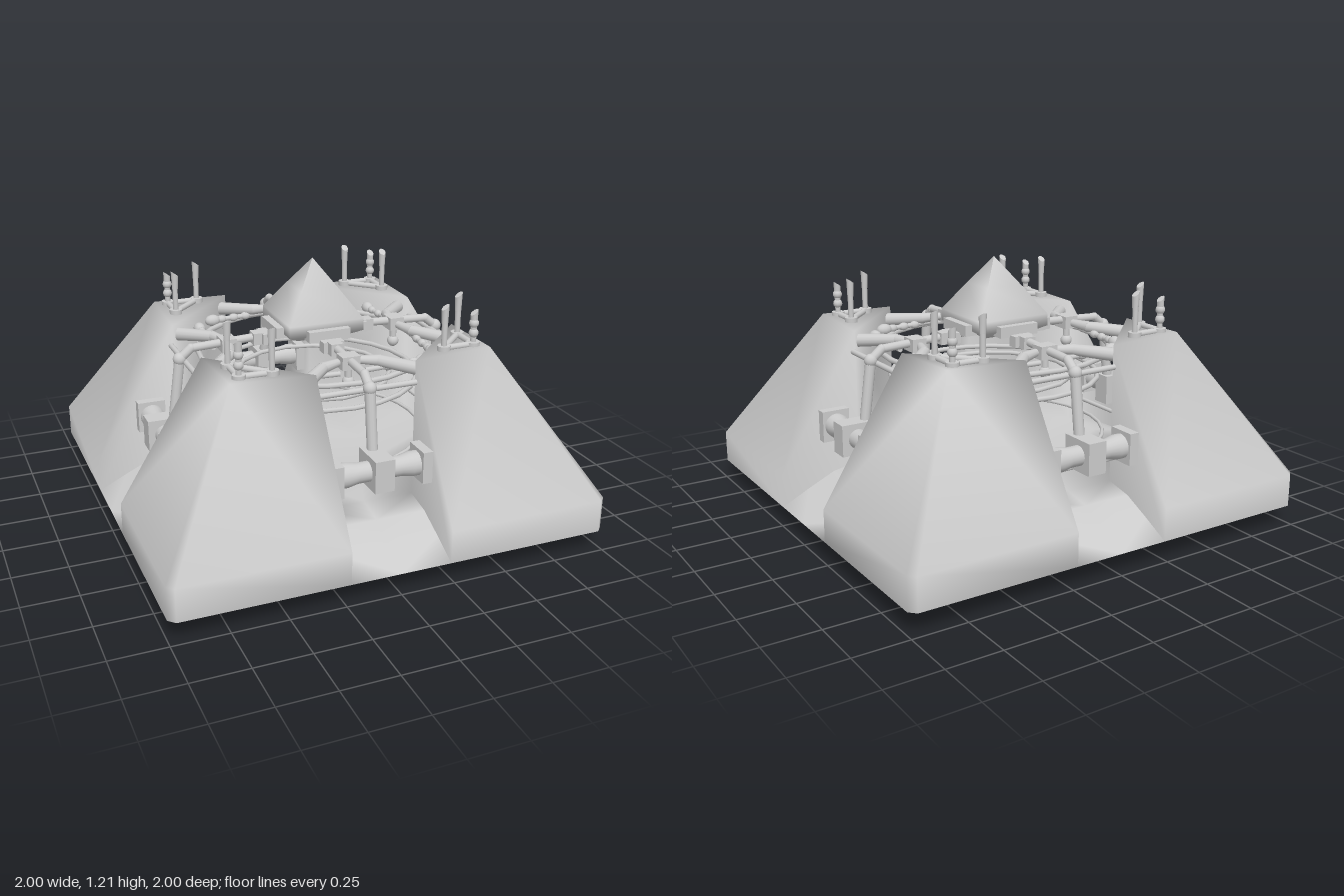
import * as THREE from 'three';
import { mergeGeometries, mergeVertices } from 'three/addons/utils/BufferGeometryUtils.js';

const mat = new THREE.MeshStandardMaterial({ color: 0xcccccc, side: THREE.DoubleSide });
const V = (x, y, z) => new THREE.Vector3(x, y, z);

function add(parent, name, geo, x = 0, y = 0, z = 0) {
  const m = new THREE.Mesh(geo, mat);
  m.name = name;
  m.position.set(x, y, z);
  parent.add(m);
  return m;
}
const box = (p, name, w, h, d, x, y, z) => add(p, name, new THREE.BoxGeometry(w, h, d), x, y, z);

// Round bar from a to b, optionally tapered
function rod(parent, name, a, b, ra, rb = ra) {
  const dir = b.clone().sub(a);
  const m = add(parent, name, new THREE.CylinderGeometry(rb, ra, dir.length(), 12));
  m.position.copy(a).lerp(b, 0.5);
  m.quaternion.setFromUnitVectors(V(0, 1, 0), dir.normalize());
  return m;
}

// Indexed surface from points and polygon lists (fans)
function surface(points, polys) {
  const idx = [];
  polys.forEach(p => { for (let i = 1; i < p.length - 1; i++) idx.push(p[0], p[i], p[i + 1]); });
  const g = new THREE.BufferGeometry();
  g.setAttribute('position', new THREE.Float32BufferAttribute(points.flat(), 3));
  g.setIndex(idx);
  return g;
}

// Hull: four corner shells, the aprons between them and the dished floor, smoothly joined
function hull() {
  const pts = [];
  for (const y of [0.1, 0.25])
    [[0.23, 1], [0.97, 1], [1, 0.97], [1, 0.23]].forEach(([x, z]) => pts.push([x, y, z]));
  pts.push([0.23, 0.88, 0.61], [0.6, 0.89, 0.6], [0.61, 0.88, 0.23]);
  pts.push([0.23, 0.25, 0.61], [0.61, 0.25, 0.23], [0.42, 0.565, 0.42]);
  const shell = surface(pts, [
    [0, 1, 5, 4], [1, 2, 6, 5], [3, 7, 6, 2],                   // skirt
    [4, 5, 9, 8], [5, 6, 9], [7, 10, 9, 6], [8, 9, 10],         // slopes and roof
    [0, 4, 8, 11], [3, 12, 10, 7],                              // side walls
    [13, 11, 8], [13, 8, 10], [13, 10, 12], [13, 12, 11],       // inner wall
  ]);
  const rows = [[0.61, 0.25], [0.74, 0.225], [0.87, 0.165], [1, 0.1]];
  const apron = surface(rows.flatMap(([z, y]) => [-0.23, 0, 0.23].map(x => [x, y, z])),
    [0, 3, 6].flatMap(i => [[i, i + 3, i + 4, i + 1], [i + 2, i + 1, i + 4, i + 5]]));
  const floor = surface([[0, 0.205, 0], [-0.12, 0.215, 0.31], [0.12, 0.215, 0.31], [0.31, 0.215, 0.12],
    [-0.23, 0.25, 0.61], [0, 0.25, 0.61], [0.23, 0.25, 0.61], [0.61, 0.25, 0.23]],
    [[0, 1, 2], [0, 2, 3], [1, 4, 5], [1, 5, 2], [2, 5, 6], [2, 6, 7, 3]]);
  const quarter = mergeGeometries([shell, apron, floor]);
  const turns = [0, 1, 2, 3].map(k => quarter.clone().rotateY(k * Math.PI / 2));
  const geo = mergeVertices(mergeGeometries(turns), 1e-3);
  geo.computeVertexNormals();
  return geo;
}

// Triangular antenna frame with three masts, the corner one beaded
function antennas() {
  const g = new THREE.Group();
  g.name = 'antennaFrame';
  const feet = [[0.545, 0.545], [0.4, 0.545], [0.545, 0.4]];
  feet.forEach(([x, z], i) => {
    const [nx, nz] = feet[(i + 1) % 3];
    const top = i === 0 ? 0.98 : 1.02;
    rod(g, 'antennaFrameBar', V(x, 0.893, z), V(nx, 0.893, nz), 0.014);
    add(g, 'antennaFoot', new THREE.CylinderGeometry(0.03, 0.03, 0.024, 16), x, 0.893, z);
    rod(g, 'antennaMast', V(x, 0.89, z), V(x, top, z), 0.013);
    if (i === 0) for (const y of [0.945, 0.99])
      add(g, 'antennaBead', new THREE.SphereGeometry(0.022, 12, 8), x, y, z);
    const tip = new THREE.CylinderGeometry(0.017, 0.014, 0.075, 12);
    const p = tip.attributes.position;
    for (let k = 0; k < p.count; k++)
      if (p.getY(k) > 0) p.setY(k, p.getY(k) + p.getX(k) * 0.7);
    tip.computeVertexNormals();
    add(g, 'antennaTip', tip, x, top + 0.022, z);
  });
  return g;
}

// Hinge and bent arm that carry the capsule from one gap
function armAssembly() {
  const g = new THREE.Group();
  g.name = 'supportArm';
  const barrel = new THREE.LatheGeometry(
    [[0.055, -0.2], [0.055, -0.15], [0.045, -0.1], [0.045, 0.1], [0.055, 0.15], [0.055, 0.2]]
      .map(([r, y]) => new THREE.Vector2(r, y)), 20);
  add(g, 'hingeBarrel', barrel, 0, 0.465, 0.74).rotation.z = Math.PI / 2;
  box(g, 'hingeBlock', 0.09, 0.145, 0.17, 0, 0.463, 0.73);
  rod(g, 'crossRod', V(-0.23, 0.37, 0.64), V(0.23, 0.37, 0.64), 0.01);
  rod(g, 'upperCrossRod', V(-0.23, 0.785, 0.62), V(0.23, 0.785, 0.62), 0.013);

  // Arm: upright, elbow and beam
  rod(g, 'armUpright', V(0, 0.47, 0.69), V(0, 0.8, 0.645), 0.024);
  add(g, 'armElbow', new THREE.SphereGeometry(0.03, 14, 10), 0, 0.8, 0.645);
  rod(g, 'armShoulder', V(0, 0.8, 0.645), V(0, 0.845, 0.59), 0.021);
  add(g, 'armKnuckle', new THREE.SphereGeometry(0.021, 14, 10), 0, 0.845, 0.59);
  rod(g, 'armBeam', V(0, 0.845, 0.59), V(0, 0.865, 0.15), 0.019);
  box(g, 'armClamp', 0.085, 0.06, 0.07, 0, 0.845, 0.42);
  box(g, 'armSocket', 0.1, 0.05, 0.05, 0, 0.855, 0.235);
  box(g, 'armSocketCollar', 0.06, 0.055, 0.05, 0, 0.855, 0.275);
  rod(g, 'clampStrut', V(0, 0.84, 0.42), V(0, 0.75, 0.42), 0.016);
  add(g, 'clampKnob', new THREE.SphereGeometry(0.028, 12, 8), 0, 0.75, 0.42);
  for (const s of [-1, 1]) {
    box(g, 'hingeBracket', 0.045, 0.145, 0.13, s * 0.205, 0.463, 0.74);
    // Thick tapered pipe running out to the shell
    rod(g, 'shellPipe', V(s * 0.05, 0.845, 0.42), V(s * 0.14, 0.84, 0.45), 0.018, 0.026);
    rod(g, 'shellPipe', V(s * 0.13, 0.84, 0.445), V(s * 0.27, 0.825, 0.575), 0.026, 0.031);
    add(g, 'pipeJoint', new THREE.SphereGeometry(0.031, 12, 8), s * 0.27, 0.825, 0.575);
    // Beaded piston following the ring
    const a = V(s * 0.06, 0.81, 0.465), b = V(s * 0.35, 0.81, 0.445);
    rod(g, 'piston', a, b, 0.012);
    for (const t of [0.4, 0.62, 0.84, 1]) {
      const c = a.clone().lerp(b, t);
      add(g, 'pistonBead', new THREE.SphereGeometry(t === 1 ? 0.028 : 0.019, 12, 8), c.x, c.y, c.z)
        .scale.x = 1.4;
    }
  }
  return g;
}

export function createModel() {
  const root = new THREE.Group();
  root.name = 'lander';
  add(root, 'hull', hull());

  for (let k = 0; k < 4; k++) {
    const q = new THREE.Group();
    q.name = 'quarter';
    q.rotation.y = k * Math.PI / 2;
    q.add(antennas(), armAssembly());
    // Capsule dock tab
    box(q, 'capsuleTab', 0.2, 0.05, 0.06, 0, 0.895, 0.185);
    root.add(q);
  }

  // Ring pipes inside the frame
  const ring = (name, r, t, y, n) =>
    add(root, name, new THREE.TorusGeometry(r, t, 8, n), 0, y, 0).rotation.x = Math.PI / 2;
  ring('innerRing', 0.365, 0.011, 0.65, 16);
  ring('middleRing', 0.49, 0.012, 0.65, 24);
  ring('outerRing', 0.54, 0.013, 0.785, 24);
  ring('lowerRing', 0.52, 0.009, 0.37, 32);

  // Four-sided capsule: pyramid roof, short wall and tapered underside
  const capsule = [[0, 0.855], [0.12, 0.855], [0.18, 0.89], [0.18, 0.945], [0.09, 1.077], [0, 1.205]];
  add(root, 'capsule', new THREE.LatheGeometry(
    capsule.map(([r, y]) => new THREE.Vector2(r * Math.SQRT2, y)), 4)).rotation.y = Math.PI / 4;

  // Engine nozzle through the floor
  const profile = [[0.052, 0], [0.036, 0.1], [0.034, 0.13], [0.045, 0.17], [0.025, 0.19], [0.025, 0.255], [0, 0.257]];
  add(root, 'nozzle', new THREE.LatheGeometry(profile.map(p => new THREE.Vector2(...p)), 20));
  return root;
}
